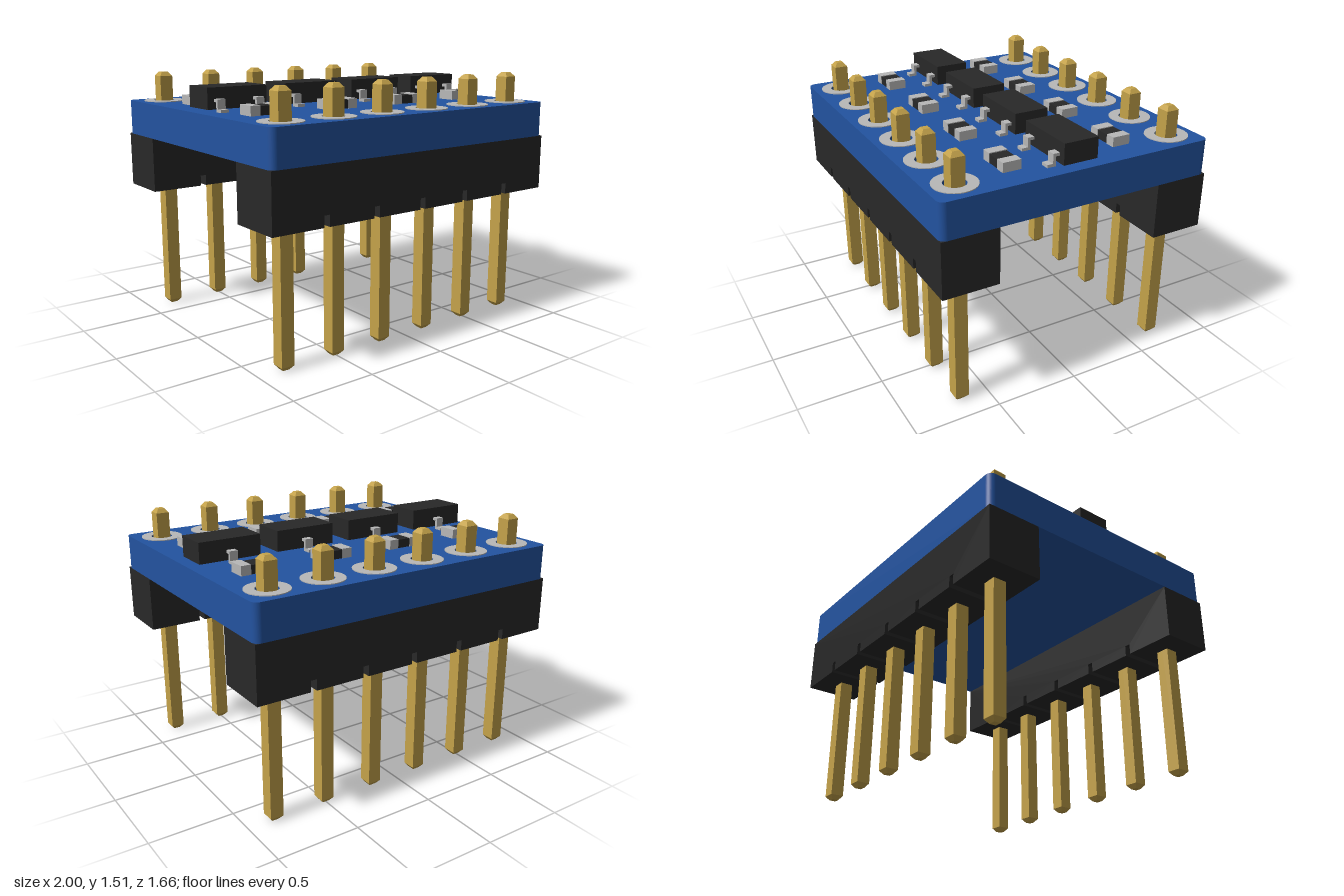
import * as THREE from 'three';

const material = (color) => new THREE.MeshStandardMaterial({ color });
const BLUE = material(0x2353a0), BLACK = material(0x282828);
const GOLD = material(0xc4a24a), SILVER = material(0xb8b8b8);

const BOARD_BOTTOM = 1.12, BOARD_TOP = 1.33;
const PIN_Z = 0.665, PITCH = 0.333;
const pinXs = [0, 1, 2, 3, 4, 5].map((i) => (i - 2.5) * PITCH);

function add(parent, name, geometry, mat, x = 0, y = 0, z = 0) {
  const mesh = new THREE.Mesh(geometry, mat);
  mesh.name = name;
  mesh.position.set(x, y, z);
  parent.add(mesh);
  return mesh;
}

function circlePath(x, y, r) {
  return new THREE.Path().absarc(x, y, r, 0, Math.PI * 2, true);
}

// Rounded board drilled with two rows of holes
function boardGeometry() {
  const w = 1, d = 0.83, r = 0.04;
  const s = new THREE.Shape();
  s.absarc(w - r, d - r, r, 0, Math.PI / 2);
  s.absarc(-w + r, d - r, r, Math.PI / 2, Math.PI);
  s.absarc(-w + r, -d + r, r, Math.PI, Math.PI * 1.5);
  s.absarc(w - r, -d + r, r, Math.PI * 1.5, Math.PI * 2);
  for (const x of pinXs) for (const z of [-PIN_Z, PIN_Z]) s.holes.push(circlePath(x, z, 0.064));
  return new THREE.ExtrudeGeometry(s, { depth: BOARD_TOP - BOARD_BOTTOM, bevelEnabled: false, curveSegments: 16 })
    .rotateX(-Math.PI / 2);
}

// Flat ring around a pin hole
function padGeometry() {
  const s = new THREE.Shape().absarc(0, 0, 0.123, 0, Math.PI * 2);
  s.holes.push(circlePath(0, 0, 0.064));
  return new THREE.ExtrudeGeometry(s, { depth: 0.005, bevelEnabled: false, curveSegments: 20 })
    .rotateX(-Math.PI / 2);
}

// Header strip with grooves across its underside between the pins
function headerGeometry() {
  const bottom = 0.79, grooveTop = 0.855, half = 0.018;
  const s = new THREE.Shape();
  s.moveTo(-1, bottom);
  for (let i = -2; i <= 2; i++) {
    const x = i * PITCH;
    s.lineTo(x - half, bottom);
    s.lineTo(x - half, grooveTop);
    s.lineTo(x + half, grooveTop);
    s.lineTo(x + half, bottom);
  }
  s.lineTo(1, bottom);
  s.lineTo(1, BOARD_BOTTOM);
  s.lineTo(-1, BOARD_BOTTOM);
  return new THREE.ExtrudeGeometry(s, { depth: 0.33, bevelEnabled: false }).translate(0, 0, -0.165);
}

// Square pin with tapered ends
function pinGeometry() {
  const profile = [[0, 0], [0.02, 0], [0.04, 0.025], [0.04, 1.485], [0.02, 1.51], [0, 1.51]]
    .map(([r, y]) => new THREE.Vector2(r * Math.SQRT2, y));
  const g = new THREE.LatheGeometry(profile, 4, Math.PI / 4).toNonIndexed();
  g.computeVertexNormals();
  return g;
}

// Bent gull-wing lead, reaching out along +z
function leadGeometry() {
  const s = new THREE.Shape([
    [0.07, 1.385], [0.128, 1.385], [0.128, 1.33], [0.18, 1.33],
    [0.18, 1.347], [0.145, 1.347], [0.145, 1.402], [0.07, 1.402],
  ].map(([z, y]) => new THREE.Vector2(z, y)));
  return new THREE.ExtrudeGeometry(s, { depth: 0.05, bevelEnabled: false })
    .translate(0, 0, -0.025).rotateY(-Math.PI / 2);
}

export function createModel() {
  const model = new THREE.Group();
  model.name = 'pinHeaderBoard';

  add(model, 'circuitBoard', boardGeometry(), BLUE, 0, BOARD_BOTTOM, 0);

  // Headers, pins and solder pads
  const header = headerGeometry(), pin = pinGeometry(), pad = padGeometry();
  for (const side of [1, -1]) {
    const row = new THREE.Group();
    row.name = side > 0 ? 'frontPinRow' : 'backPinRow';
    model.add(row);
    add(row, 'headerStrip', header, BLACK, 0, 0, side * PIN_Z);
    for (const x of pinXs) {
      add(row, 'pin', pin, GOLD, x, 0, side * PIN_Z);
      add(row, 'solderPad', pad, SILVER, x, BOARD_TOP, side * PIN_Z);
    }
  }

  // Transistors: two leads in front, one behind
  const body = new THREE.BoxGeometry(0.38, 0.122, 0.21), lead = leadGeometry();
  for (const x of [-0.745, -0.238, 0.259, 0.751]) {
    const transistor = new THREE.Group();
    transistor.name = 'transistor';
    transistor.position.set(x, 0, -0.01);
    model.add(transistor);
    add(transistor, 'transistorBody', body, BLACK, 0, 1.404, 0);
    for (const dx of [-0.125, 0.125]) add(transistor, 'frontLead', lead, SILVER, dx, 0, 0);
    add(transistor, 'backLead', lead, SILVER).rotation.y = Math.PI;
  }

  // Resistors: dark core between two metal end caps
  const core = new THREE.BoxGeometry(0.09, 0.05, 0.104), cap = new THREE.BoxGeometry(0.06, 0.056, 0.11);
  const rows = [[-0.347, [-0.738, -0.249, 0.235, 0.735]], [0.345, [-0.743, -0.235, 0.259, 0.741]]];
  for (const [z, xs] of rows) for (const x of xs) {
    const resistor = new THREE.Group();
    resistor.name = 'resistor';
    resistor.position.set(x, BOARD_TOP, z);
    model.add(resistor);
    add(resistor, 'resistorCore', core, BLACK, 0, 0.026, 0);
    for (const side of [-1, 1]) add(resistor, 'resistorCap', cap, SILVER, side * 0.073, 0.028, 0);
  }

  return model;
}
